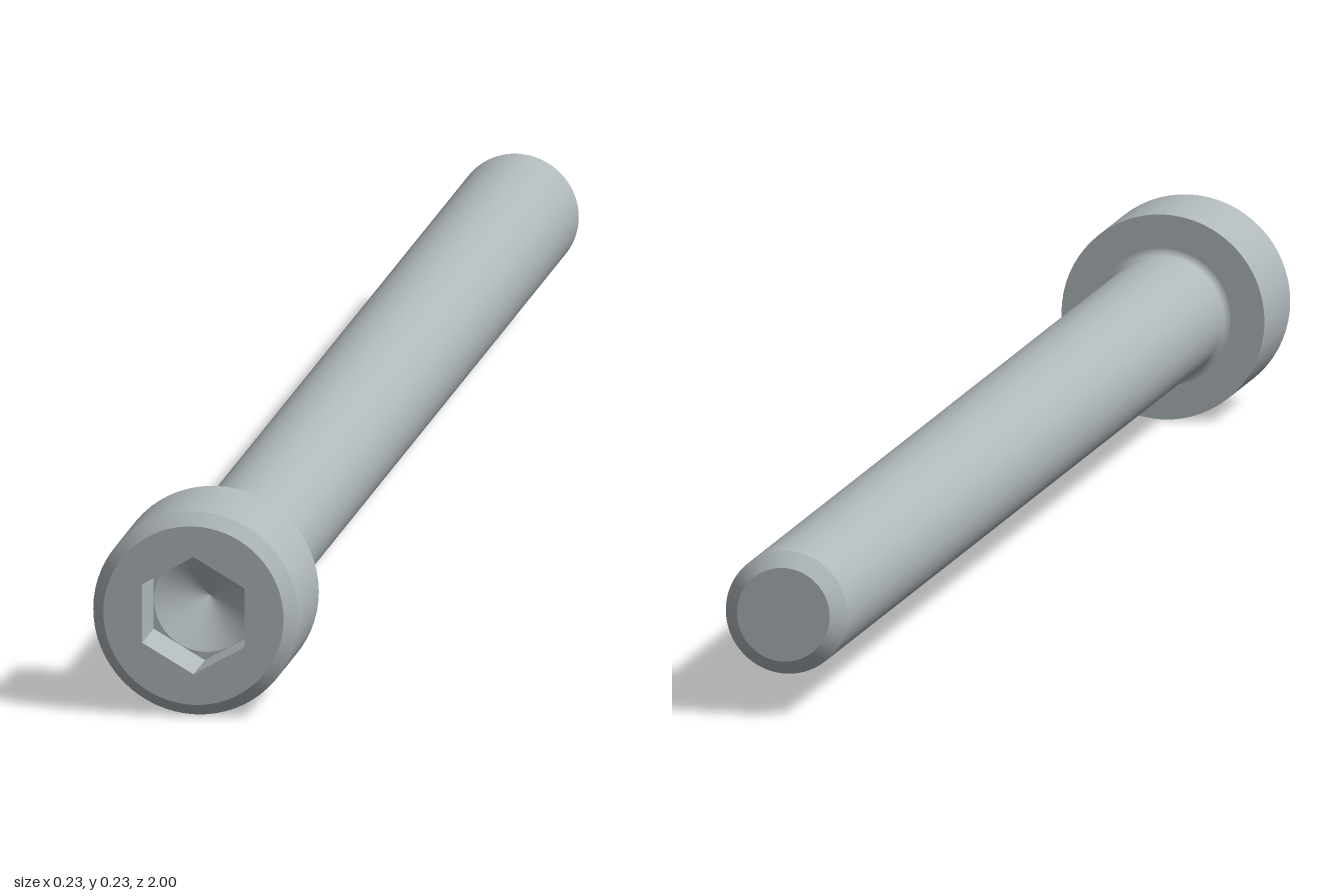
import * as THREE from 'three';

const SEG = 64;
const HEAD_R = 0.116, SHAFT_R = 0.0695, HEAD_BACK = 0.86;
const FACE_R = 0.102, TIP_R = 0.053;
const HEX_IN = 0.058, HEX_OUT = HEX_IN / Math.cos(Math.PI / 6);
const FLOOR_Z = 0.93, DRILL_R = 0.0575;

export function createModel() {
  const steel = new THREE.MeshStandardMaterial({ color: 0xb0b8bc });
  steel.name = 'steel';

  const model = new THREE.Group();
  model.name = 'socketHeadBolt';
  const add = (name, geometry, parent) => {
    const mesh = new THREE.Mesh(geometry, steel);
    mesh.name = name;
    parent.add(mesh);
  };
  const part = (name) => {
    const group = new THREE.Group();
    group.name = name;
    group.position.y = HEAD_R;
    model.add(group);
    return group;
  };

  // Surface of revolution about z, from [radius, z] points
  const turned = (points) => new THREE.LatheGeometry(
    points.map(([r, z]) => new THREE.Vector2(r, z)), SEG).rotateX(Math.PI / 2);

  // Corner points of a regular polygon with one corner at the top
  const ring = (radius, sides) => Array.from({ length: sides }, (_, i) => {
    const a = Math.PI / 2 + (i / sides) * Math.PI * 2;
    return new THREE.Vector2(Math.cos(a) * radius, Math.sin(a) * radius);
  });

  // Flat face at z with a hole in it
  const holedFace = (outer, hole, z) => {
    const shape = new THREE.Shape(outer);
    shape.holes.push(new THREE.Path(hole));
    return new THREE.ShapeGeometry(shape).translate(0, 0, z);
  };

  // Shaft: separate surfaces keep the edges sharp
  const shaft = part('shaft');
  const fillet = 0.008;
  add('tipFace', turned([[0, -1], [TIP_R, -1]]), shaft);
  add('tipChamfer', turned([[TIP_R, -1], [SHAFT_R, -0.984]]), shaft);
  add('shank', turned([[SHAFT_R, -0.984], [SHAFT_R, HEAD_BACK - fillet]]), shaft);
  const curve = Array.from({ length: 6 }, (_, i) => {
    const a = (i / 5) * Math.PI / 2;
    return [SHAFT_R + fillet * (1 - Math.cos(a)), HEAD_BACK - fillet * (1 - Math.sin(a))];
  });
  add('neckFillet', turned(curve), shaft);

  // Head
  const head = part('head');
  add('headUnderside', turned([[SHAFT_R + fillet, HEAD_BACK], [HEAD_R, HEAD_BACK]]), head);
  add('headSide', turned([[HEAD_R, HEAD_BACK], [HEAD_R, 0.986]]), head);
  add('headChamfer', turned([[HEAD_R, 0.986], [FACE_R, 1]]), head);
  add('headFace', holedFace(ring(FACE_R, SEG), ring(HEX_OUT, 6), 1), head);

  // Hexagonal socket with a drilled conical bottom
  const socket = part('hexSocket');
  const depth = 1 - FLOOR_Z;
  for (let i = 0; i < 6; i++) {
    const wall = new THREE.PlaneGeometry(HEX_OUT, depth)
      .rotateX(Math.PI / 2)
      .translate(0, HEX_IN, 1 - depth / 2)
      .rotateZ(Math.PI / 6 + i * Math.PI / 3);
    add('socketWall', wall, socket);
  }
  add('socketFloor', holedFace(ring(HEX_OUT, 6), ring(DRILL_R, SEG), FLOOR_Z), socket);
  add('drillCone', turned([[DRILL_R, FLOOR_Z], [0, FLOOR_Z - 0.033]]), socket);

  return model;
}
